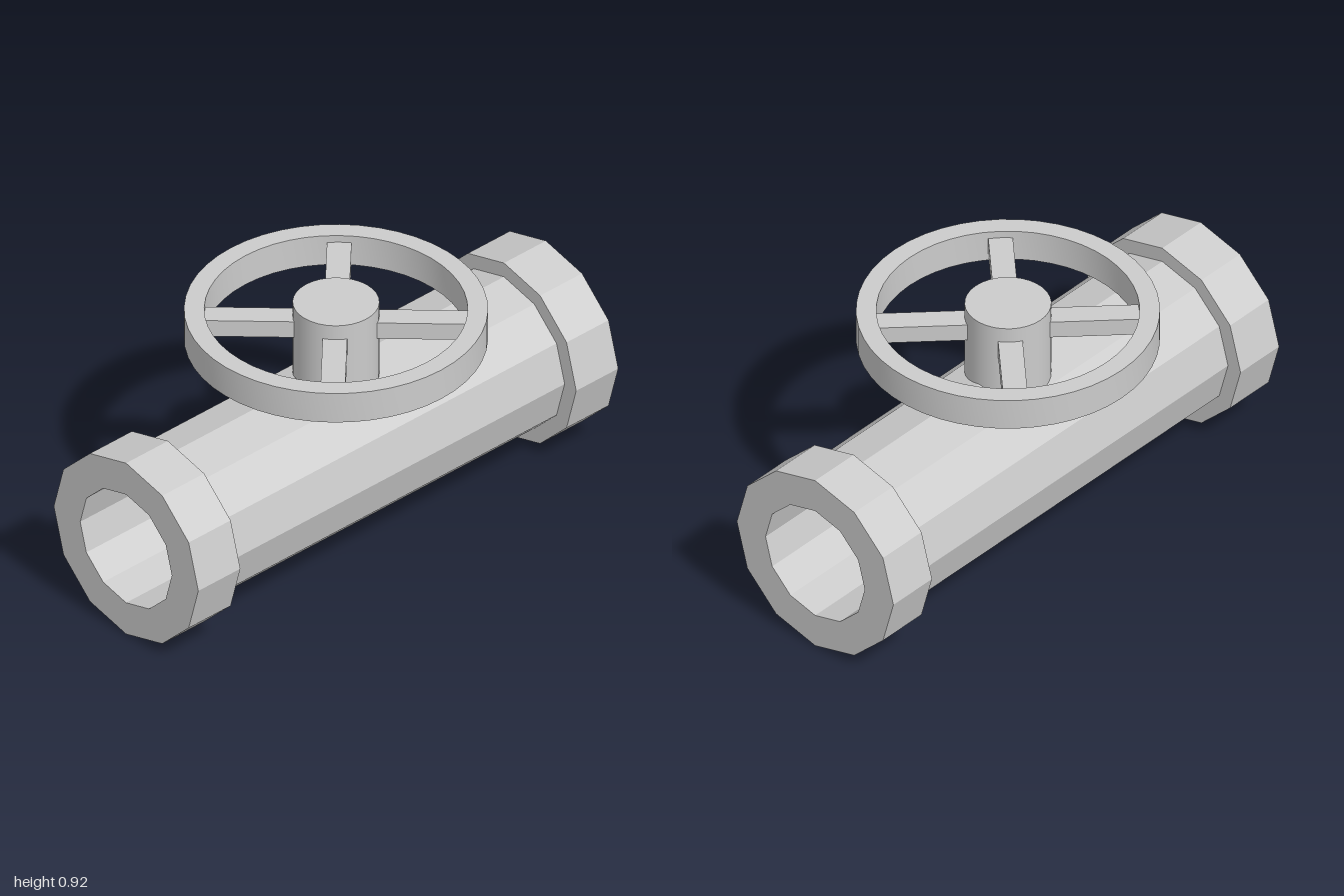
import * as THREE from 'three';
import { toCreasedNormals } from 'three/addons/utils/BufferGeometryUtils.js';

const AXIS_Y = 0.356; // height of the pipe's centre line
const material = new THREE.MeshStandardMaterial({ color: 0xcccccc });
const faceted = new THREE.MeshStandardMaterial({ color: 0xcccccc, flatShading: true });

// Points of a regular polygon, first corner on +x
function polygon(radius, sides) {
  return Array.from({ length: sides }, (_, i) => {
    const a = (i / sides) * Math.PI * 2;
    return new THREE.Vector2(radius * Math.cos(a), radius * Math.sin(a));
  });
}

// Hollow prism along z, centred on the origin
function ring(outer, inner, length, sides) {
  const shape = new THREE.Shape(polygon(outer, sides));
  shape.holes.push(new THREE.Path(polygon(inner, sides).reverse()));
  const geometry = new THREE.ExtrudeGeometry(shape, { depth: length, bevelEnabled: false });
  return geometry.translate(0, 0, -length / 2);
}

function addMesh(parent, name, geometry, mat = material) {
  const mesh = new THREE.Mesh(geometry, mat);
  mesh.name = name;
  parent.add(mesh);
  return mesh;
}

export function createModel() {
  const model = new THREE.Group();
  model.name = 'pipeValve';

  // Twelve-sided pipe with a collar at each end, slightly wider than tall
  const pipe = new THREE.Group();
  pipe.name = 'pipe';
  pipe.position.y = AXIS_Y;
  pipe.scale.x = 1.02;
  model.add(pipe);
  addMesh(pipe, 'pipeBody', ring(0.298, 0.225, 1.6, 12), faceted);
  for (const side of [1, -1]) {
    const collar = addMesh(pipe, side > 0 ? 'frontCollar' : 'backCollar', ring(0.355, 0.225, 0.2, 12), faceted);
    collar.position.z = side * 0.9;
  }

  // Stem rising out of the pipe wall
  const stem = addMesh(model, 'stem', new THREE.CylinderGeometry(0.15, 0.15, 0.32, 32));
  stem.position.y = 0.76;

  // Handwheel: rim and four diagonal spokes
  const wheel = new THREE.Group();
  wheel.name = 'handwheel';
  wheel.position.y = 0.83;
  model.add(wheel);
  const rim = ring(0.525, 0.455, 0.12, 48).rotateX(Math.PI / 2);
  addMesh(wheel, 'rim', toCreasedNormals(rim, 0.6));
  for (let i = 0; i < 4; i++) {
    const spoke = new THREE.BoxGeometry(0.36, 0.065, 0.085).translate(0.3, 0, 0);
    addMesh(wheel, 'spoke', spoke).rotation.y = Math.PI / 4 + (i * Math.PI) / 2;
  }

  return model;
}
